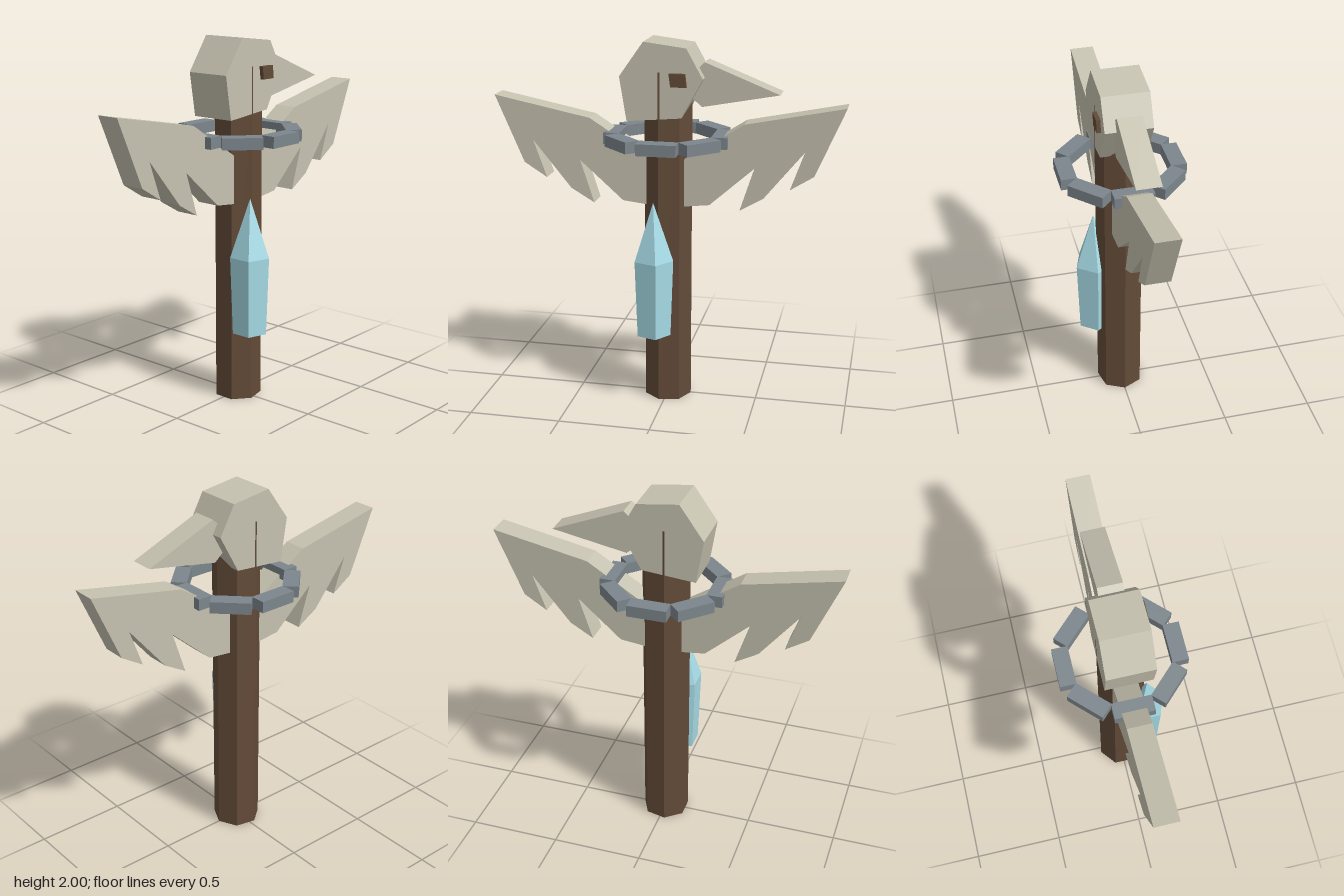
import * as THREE from 'three';

const material = (color) => new THREE.MeshStandardMaterial({ color, flatShading: true });

export function createModel() {
  const model = new THREE.Group();
  model.name = 'birdTotem';

  const wood = material(0x634b38);
  const bone = material(0xc6c2b0);
  const stone = material(0x7c868c);
  const crystalBlue = material(0xa6dbe6);

  const add = (name, geometry, mat, parent = model) => {
    const mesh = new THREE.Mesh(geometry, mat);
    mesh.name = name;
    parent.add(mesh);
    return mesh;
  };

  // Flat outline given depth between two z planes
  const slab = (points, zBack, zFront) => {
    const shape = new THREE.Shape(points.map(([x, y]) => new THREE.Vector2(x, y)));
    return new THREE.ExtrudeGeometry(shape, { depth: zFront - zBack, bevelEnabled: false })
      .translate(0, 0, zBack);
  };

  // Seven-sided pole with one corner pointing to +x
  add('pole', new THREE.CylinderGeometry(0.13, 0.13, 1.845, 7)
    .rotateY(Math.PI / 2).translate(0, 0.9225, 0), wood);

  // Head, beak and the single eye on the front
  add('head', slab([
    [-0.236, 1.817], [-0.198, 1.582], [0.093, 1.608],
    [0.206, 1.815], [0.119, 1.972], [-0.107, 2.0],
  ], -0.125, 0.125), bone);
  add('beak', slab([
    [0.1, 1.8], [0.1, 1.74], [0.193, 1.661], [0.6, 1.738], [0.206, 1.895],
  ], -0.065, 0.065), bone);
  add('eye', slab([
    [0.03, 1.842], [0.04, 1.773], [0.123, 1.773], [0.115, 1.842],
  ], 0.1, 0.147), wood);

  // Wings with jagged feathers, rooted inside the pole
  const wing = [
    [0.03, 1.332], [0.03, 1.108], [0.236, 1.132], [0.473, 1.344],
    [0.398, 1.11], [0.525, 1.185], [0.735, 1.444], [0.662, 1.238],
    [0.787, 1.317], [0.943, 1.683], [0.415, 1.577],
  ];
  for (const [name, side] of [['leftWing', 1], ['rightWing', -1]]) {
    add(name, slab(wing.map(([x, y]) => [side * x, y]), -0.065, 0.065), bone);
  }

  // Collar: eight separate blocks around the neck
  const collar = new THREE.Group();
  collar.name = 'collar';
  model.add(collar);
  for (let i = 0; i < 8; i++) {
    add('collarBlock', new THREE.BoxGeometry(0.21, 0.062, 0.085)
      .translate(0, 1.479, 0.29).rotateY(i * Math.PI / 4), stone, collar);
  }

  // Five-sided crystal: tapered body below a pointed tip
  const crystal = new THREE.Group();
  crystal.name = 'crystal';
  crystal.position.set(-0.055, 0, 0.135);
  model.add(crystal);
  add('crystalBody', new THREE.CylinderGeometry(0.11, 0.095, 0.43, 5, 1)
    .rotateY(Math.PI / 2).translate(0, 0.613, 0), crystalBlue, crystal);
  add('crystalTip', new THREE.ConeGeometry(0.11, 0.32, 5, 1, true)
    .rotateY(Math.PI / 2).translate(0, 0.988, 0), crystalBlue, crystal);

  return model;
}
